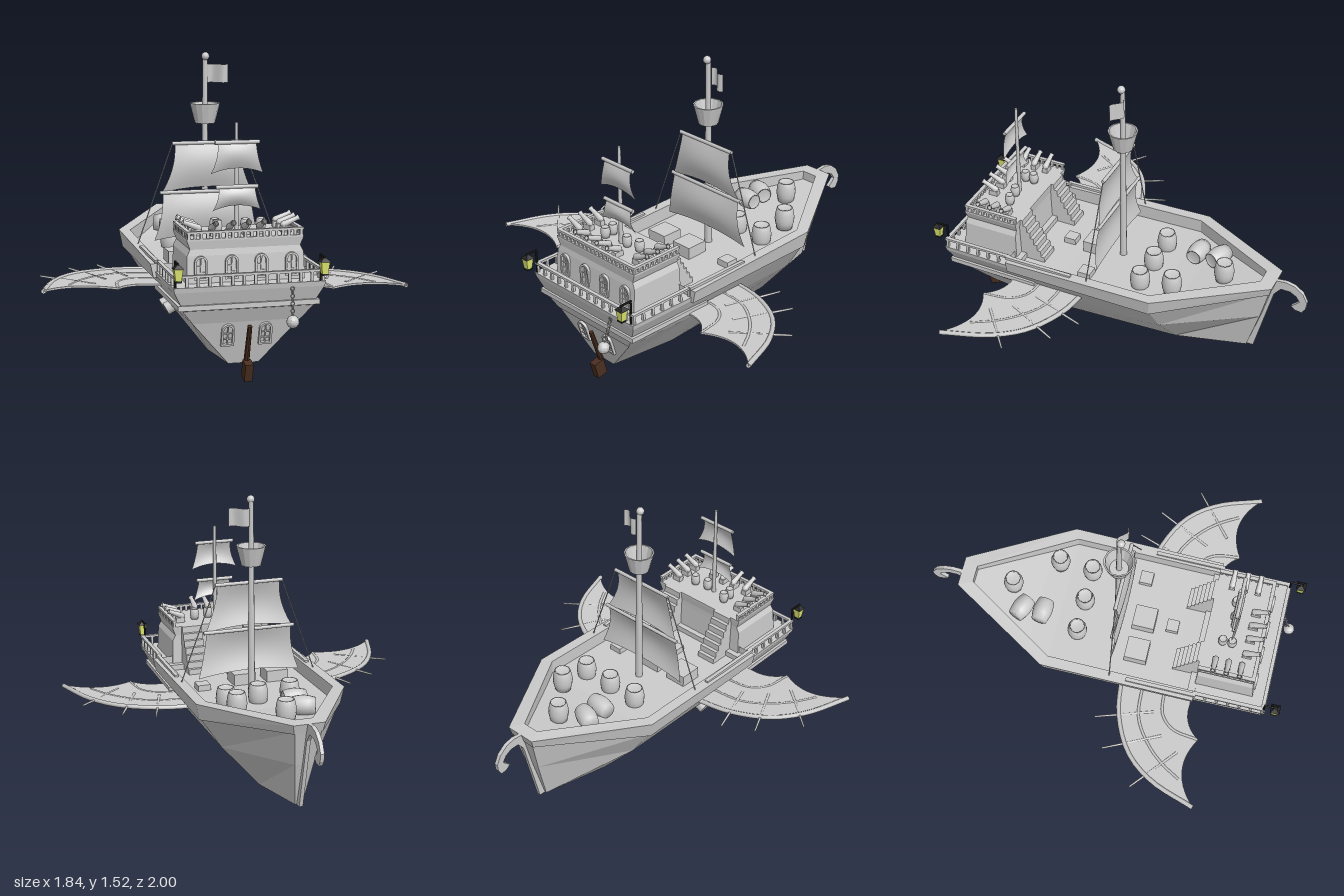
import * as THREE from 'three';

const C = 0.03; // hull centre line
const mat = (color = 0xcccccc, flat = false) =>
  new THREE.MeshStandardMaterial({ color, flatShading: flat, side: THREE.DoubleSide });
const GREY = mat(), FLAT = mat(0xcccccc, true), BROWN = mat(0x4a2e20, true), DARK = mat(0x222222, true), GLOW = mat(0xe0e870, true);
const V = (x, y, z) => new THREE.Vector3(x, y, z);

function put(parent, name, geo, x = 0, y = 0, z = 0, m = GREY) {
  const mesh = new THREE.Mesh(geo, m);
  mesh.name = name;
  mesh.position.set(x, y, z);
  parent.add(mesh);
  return mesh;
}
const box = (p, name, w, h, d, x, y, z, m = FLAT) => put(p, name, new THREE.BoxGeometry(w, h, d), x, y, z, m);

function rod(p, name, a, b, r, r2 = r, m = GREY) {
  const mesh = put(p, name, new THREE.CylinderGeometry(r2, r, a.distanceTo(b), 8), 0, 0, 0, m);
  mesh.position.copy(a).add(b).multiplyScalar(0.5);
  mesh.quaternion.setFromUnitVectors(V(0, 1, 0), b.clone().sub(a).normalize());
  return mesh;
}

// Skin mirrored half outlines [halfWidth, y, z], bow to stern, from the lowest level up, with both ends capped
function loft(levels) {
  const rings = levels.map(l => [
    ...l.map(([x, y, z]) => [C + x, y, z]),
    ...l.slice().reverse().map(([x, y, z]) => [C - x, y, z])]);
  const n = rings[0].length, pos = rings.flat(2), idx = [];
  for (let k = 0; k < rings.length - 1; k++)
    for (let i = 0; i < n; i++) {
      const j = (i + 1) % n, a = k * n + i, b = k * n + j;
      idx.push(a, a + n, b, b, a + n, b + n);
    }
  const top = (rings.length - 1) * n;
  for (let i = 0; i < n / 2 - 1; i++) {
    const a = i, b = i + 1, c = n - 2 - i, d = n - 1 - i;
    idx.push(a, b, c, a, c, d, top + a, top + c, top + b, top + a, top + d, top + c);
  }
  const g = new THREE.BufferGeometry();
  g.setAttribute('position', new THREE.Float32BufferAttribute(pos, 3));
  g.setIndex(idx);
  const out = g.toNonIndexed();
  out.computeVertexNormals();
  return out;
}

// Cloth panel that widens downward and billows along z
function sail(p, name, yTop, yBot, wTop, wBot, z, bulge) {
  const g = new THREE.PlaneGeometry(2, 1, 10, 8), a = g.attributes.position;
  for (let i = 0; i < a.count; i++) {
    const u = a.getX(i), v = 0.5 - a.getY(i);
    const lift = 0.025 * v * (1 - u * u);
    a.setXYZ(i, u * (wTop + (wBot - wTop) * v * v), yTop + (yBot - yTop) * v + lift, bulge * Math.sin(Math.PI * v) * (1 - 0.4 * u * u));
  }
  g.computeVertexNormals();
  put(p, name, g, C, 0, z);
  rod(p, name + 'Yard', V(C - wTop - 0.015, yTop, z), V(C + wTop + 0.015, yTop, z), 0.01);
}

function arch(w, h) {
  const s = new THREE.Shape();
  s.moveTo(-w, 0); s.lineTo(w, 0); s.lineTo(w, h - w);
  s.absarc(0, h - w, w, 0, Math.PI, false); s.lineTo(-w, 0);
  return s;
}
function archWindow(p, x, y, z, tilt = 0) {
  const g = new THREE.Group();
  g.name = 'archedWindow';
  const frame = arch(0.032, 0.115), hole = arch(0.022, 0.095);
  frame.holes.push(new THREE.Path(hole.getPoints(8).map(q => q.add(new THREE.Vector2(0, 0.01)))));
  put(g, 'windowFrame', new THREE.ExtrudeGeometry(frame, { depth: 0.015, bevelEnabled: false, curveSegments: 8 }), 0, 0, 0, FLAT);
  box(g, 'windowMullion', 0.006, 0.1, 0.008, 0, 0.055, 0.005);
  for (const b of [0.035, 0.065]) box(g, 'windowBar', 0.05, 0.005, 0.008, 0, b, 0.005);
  g.position.set(x, y, z);
  g.rotation.x = tilt;
  p.add(g);
}

const barrelGeo = new THREE.LatheGeometry([[0, 0], [0.042, 0], [0.05, 0.035], [0.053, 0.06], [0.05, 0.09], [0.043, 0.12], [0.037, 0.12], [0.037, 0.112], [0, 0.112]].map(q => new THREE.Vector2(...q)), 16);
const gunGeo = new THREE.LatheGeometry([[0, -0.045], [0.01, -0.04], [0.017, -0.03], [0.014, 0.01], [0.011, 0.045], [0.015, 0.055], [0.009, 0.055], [0.008, 0.02]].map(q => new THREE.Vector2(...q)), 12);

function cannon(p, x, z, turn) {
  const g = new THREE.Group();
  g.name = 'deckCannon';
  put(g, 'cannonBarrel', gunGeo, 0, 0.048, 0.01).rotation.x = Math.PI / 2 - 0.4;
  box(g, 'cannonCarriage', 0.03, 0.028, 0.05, 0, 0.016, -0.005);
  g.position.set(x, 0.7, z);
  g.rotation.y = turn;
  p.add(g);
}

function railing(p, name, a, b, h, count) {
  const up = V(0, h, 0);
  for (let i = 0; i <= count; i++) {
    const q = a.clone().lerp(b, i / count);
    box(p, name + 'Post', 0.013, h, 0.013, q.x, q.y + h / 2, q.z);
  }
  const dx = Math.abs(b.x - a.x), dz = Math.abs(b.z - a.z), m = a.clone().add(b).multiplyScalar(0.5).add(up);
  box(p, name + 'Top', dx + 0.02, 0.012, dz + 0.02, m.x, m.y, m.z);
}

// Membrane wing with curved battens and spines; s = side
function wing(p, s, y, tilt) {
  const g = new THREE.Group();
  g.name = s > 0 ? 'leftWing' : 'rightWing';
  const P = (x, z) => [s * x, z], sh = new THREE.Shape();
  sh.moveTo(...P(0.28, 0.13)); sh.lineTo(...P(0.37, 0.14));
  sh.bezierCurveTo(...P(0.62, 0.17), ...P(0.82, 0.32), ...P(0.91, 0.665));
  sh.quadraticCurveTo(...P(0.74, 0.5), ...P(0.545, 0.615));
  sh.quadraticCurveTo(...P(0.48, 0.52), ...P(0.37, 0.53));
  sh.lineTo(...P(0.28, 0.53));
  const geo = new THREE.ExtrudeGeometry(sh, { depth: 0.01, bevelEnabled: false, curveSegments: 14 });
  put(g, 'wingMembrane', geo.rotateX(Math.PI / 2), 0, 0.005, 0, FLAT);
  const battens = [[[0.3, 0.14], [0.5, 0.17], [0.7, 0.27], [0.82, 0.42], [0.91, 0.665]],
    [[0.3, 0.26], [0.5, 0.28], [0.64, 0.37], [0.72, 0.46], [0.78, 0.56]],
    [[0.3, 0.38], [0.45, 0.4], [0.52, 0.47], [0.545, 0.61]]];
  battens.forEach((pts, i) => put(g, 'wingBatten', new THREE.TubeGeometry(new THREE.CatmullRomCurve3(pts.map(([x, z]) => V(s * x, 0, z))), 16, i ? 0.009 : 0.013, 6)));
  for (const [x0, z0, x1, z1] of [[0.55, 0.05, 0.45, 0.35], [0.71, 0.13, 0.57, 0.42], [0.88, 0.32, 0.64, 0.52]])
    rod(g, 'wingSpine', V(s * x1, 0, z1), V(s * x0, 0, z0), 0.009, 0.005);
  g.position.y = y;
  g.rotation.z = tilt;
  p.add(g);
}

export function createModel() {
  const ship = new THREE.Group();
  ship.name = 'flyingShip';

  // Hull, bulwark with deck, stern gallery and quarterdeck
  put(ship, 'hull', loft([
    [[0.02, 0.115, -0.69], [0.07, 0.07, -0.3], [0.08, 0.045, 0.4], [0.075, 0.08, 0.8]],
    [[0.05, 0.36, -0.765], [0.27, 0.3, -0.29], [0.27, 0.29, 0.4], [0.265, 0.3, 0.86]],
    [[0.07, 0.55, -0.815], [0.38, 0.47, -0.28], [0.375, 0.46, 0.4], [0.33, 0.43, 0.89]]]), 0, 0, 0, FLAT);
  put(ship, 'bulwarkAndDeck', loft([
    [[0.075, 0.54, -0.815], [0.385, 0.46, -0.28], [0.385, 0.46, 0.54]],
    [[0.082, 0.59, -0.83], [0.402, 0.55, -0.29], [0.4, 0.53, 0.54]],
    [[0.045, 0.59, -0.755], [0.345, 0.55, -0.265], [0.345, 0.53, 0.54]],
    [[0.045, 0.52, -0.755], [0.345, 0.475, -0.265], [0.345, 0.455, 0.54]]]), 0, 0, 0, FLAT);
  put(ship, 'sternGallery', loft([
    [[0.25, 0.29, 0.4], [0.265, 0.3, 0.865]], [[0.325, 0.365, 0.4], [0.32, 0.37, 0.895]],
    [[0.35, 0.375, 0.4], [0.345, 0.375, 0.91]], [[0.35, 0.4, 0.4], [0.345, 0.4, 0.91]]]), 0, 0, 0, FLAT);
  put(ship, 'quarterdeck', loft([
    [[0.33, 0.39, 0.5], [0.325, 0.39, 0.895]], [[0.37, 0.465, 0.5], [0.365, 0.465, 0.92]],
    [[0.375, 0.49, 0.5], [0.37, 0.49, 0.925]]]), 0, 0, 0, FLAT);

  // Stem and curled prow
  const stem = [[-0.68, 0.115], [-0.725, 0.115], [-0.82, 0.5], [-0.855, 0.545], [-0.905, 0.545], [-0.94, 0.525], [-0.96, 0.495], [-0.94, 0.475], [-0.917, 0.455], [-0.94, 0.435], [-0.975, 0.43], [-0.995, 0.46], [-1, 0.5], [-0.975, 0.55], [-0.93, 0.585], [-0.88, 0.597], [-0.82, 0.59]];
  const stemGeo = new THREE.ExtrudeGeometry(new THREE.Shape(stem.map(q => new THREE.Vector2(...q))), { depth: 0.02, bevelEnabled: false });
  put(ship, 'curledStem', stemGeo.translate(0, 0, -0.01).rotateY(-Math.PI / 2), C, 0, 0, FLAT);

  // Stern cabin, roof, windows, stairs
  put(ship, 'sternCabin', loft([
    [[0.29, 0.48, 0.53], [0.29, 0.48, 0.845]], [[0.285, 0.62, 0.535], [0.285, 0.62, 0.835]], [[0.27, 0.65, 0.535], [0.27, 0.65, 0.83]],
    [[0.285, 0.69, 0.53], [0.285, 0.69, 0.835]], [[0.285, 0.7, 0.53], [0.285, 0.7, 0.835]]]), 0, 0, 0, FLAT);
  for (const x of [-0.19, -0.04, 0.105, 0.255]) archWindow(ship, x, 0.505, 0.835);
  for (const x of [-0.06, 0.125]) archWindow(ship, x, 0.18, 0.826, 0.27);
  for (const x of [-0.145, 0.21])
    for (let i = 0; i < 7; i++) box(ship, 'stairStep', 0.11, 0.035 * (i + 1), 0.02, x, 0.455 + 0.0175 * (i + 1), 0.405 + 0.02 * i);

  // Railings
  for (const s of [-1, 1]) {
    railing(ship, 'sternSideRail', V(C + s * 0.36, 0.48, 0.54), V(C + s * 0.36, 0.48, 0.91), 0.06, 6);
    railing(ship, 'roofSideRail', V(C + s * 0.275, 0.7, 0.54), V(C + s * 0.275, 0.7, 0.825), 0.03, 9);
    box(ship, 'waistRail', 0.02, 0.014, 0.38, C + s * 0.37, 0.542, 0.36);
  }
  railing(ship, 'sternRail', V(C - 0.36, 0.48, 0.91), V(C + 0.36, 0.48, 0.91), 0.06, 13);
  railing(ship, 'roofSternRail', V(C - 0.275, 0.7, 0.825), V(C + 0.275, 0.7, 0.825), 0.03, 18);

  // Cannons and stores on the roof
  for (const x of [-0.115, -0.03, 0.045, 0.12]) cannon(ship, x, 0.77, 0);
  for (const z of [0.61, 0.68, 0.75]) for (const s of [-1, 1]) cannon(ship, C + s * 0.225, z, s * Math.PI / 2);
  for (const [x, z] of [[-0.07, 0.625], [-0.07, 0.675], [0.075, 0.66], [0.155, 0.65]])
    put(ship, 'smallKeg', barrelGeo, x, 0.7, z).scale.setScalar(0.48);
  for (const z of [0.27, 0.36]) rod(ship, 'sideGunPort', V(-0.19, 0.29, z), V(-0.255, 0.255, z), 0.035);

  // Barrels and crates on the deck
  for (const [x, y, z] of [[-0.12, 0.45, -0.15], [0.055, 0.45, -0.15], [0.23, 0.45, -0.15], [0.23, 0.485, -0.33], [0.045, 0.5, -0.545]])
    put(ship, 'barrel', barrelGeo, x, y, z);
  for (const [x, z, a] of [[-0.135, -0.49, 1.1], [-0.13, -0.36, 1.4]]) put(ship, 'fallenBarrel', barrelGeo, x, 0.545, z).rotation.set(0, a - 1.5, -Math.PI / 2);
  for (const [x, z, w] of [[-0.155, 0.19, 0.12], [0.03, 0.19, 0.12], [0.265, 0.145, 0.07], [0.03, 0.345, 0.065]])
    box(ship, 'crate', w, w * 0.6, w, x, 0.455 + w * 0.3, z);

  // Main mast with lookout, flag, sails and stays
  rod(ship, 'mainMast', V(0.025, 0.45, 0.042), V(0.025, 1.49, 0.042), 0.02, 0.013);
  put(ship, 'mastBall', new THREE.SphereGeometry(0.021, 14, 10), 0.025, 1.5, 0.05);
  put(ship, 'lookout', new THREE.LatheGeometry([[0, 1.155], [0.052, 1.155], [0.078, 1.258], [0.07, 1.258], [0.048, 1.175], [0, 1.175]].map(q => new THREE.Vector2(...q)), 14), 0.025, 0, 0.042, FLAT);
  const flag = new THREE.PlaneGeometry(0.105, 0.095, 8, 1), fa = flag.attributes.position;
  for (let i = 0; i < fa.count; i++) fa.setZ(i, 0.025 * Math.sin(fa.getX(i) * 50));
  flag.computeVertexNormals();
  put(ship, 'flag', flag, 0.09, 1.41, 0.045);
  sail(ship, 'mainTopSail', 1.055, 0.8, 0.17, 0.24, 0.065, 0.028);
  sail(ship, 'mainLowerSail', 0.8, 0.55, 0.235, 0.28, 0.065, 0.028);
  for (const s of [-1, 1]) rod(ship, 'stay', V(C + s * 0.185, 1.05, 0.065), V(C + s * 0.37, 0.54, 0.08), 0.003);

  // Rear mast
  rod(ship, 'rearMast', V(C, 0.7, 0.66), V(C, 1.225, 0.655), 0.012, 0.008);
  sail(ship, 'rearTopSail', 1.13, 0.98, 0.095, 0.13, 0.668, 0.02);
  sail(ship, 'rearLowerSail', 0.915, 0.8, 0.09, 0.12, 0.668, 0.02);

  wing(ship, -1, 0.405, -0.05);
  wing(ship, 1, 0.37, 0.015);

  // Rudder
  rod(ship, 'rudderStock', V(C + 0.008, 0.28, 0.885), V(C + 0.008, 0.09, 0.825), 0.012, 0.015, BROWN);
  box(ship, 'rudderBlade', 0.04, 0.09, 0.06, 0.038, 0.053, 0.845, BROWN).rotation.x = 0.25;

  // Stern lanterns
  for (const x of [-0.33, 0.375]) {
    rod(ship, 'lanternPost', V(x, 0.48, 0.915), V(x, 0.62, 0.915), 0.006, 0.006, DARK);
    rod(ship, 'lanternArm', V(x, 0.615, 0.91), V(x, 0.615, 0.98), 0.005, 0.005, DARK);
    put(ship, 'lanternGlass', new THREE.CylinderGeometry(0.03, 0.02, 0.06, 4).rotateY(Math.PI / 4), x, 0.565, 0.972, GLOW);
    put(ship, 'lanternCap', new THREE.CylinderGeometry(0.008, 0.036, 0.018, 4).rotateY(Math.PI / 4), x, 0.603, 0.972, DARK);
    box(ship, 'lanternBase', 0.032, 0.008, 0.032, x, 0.533, 0.972, DARK);
  }

  // Weight hanging on a chain
  for (let i = 0; i < 8; i++) {
    const link = put(ship, 'chainLink', new THREE.TorusGeometry(0.009, 0.003, 5, 8), 0.235 - i * 0.001, 0.46 - i * 0.017, 0.925 + i * 0.004);
    link.rotation.y = (i % 2) * Math.PI / 2;
  }
  put(ship, 'hangingWeight', new THREE.SphereGeometry(0.031, 12, 8), 0.225, 0.31, 0.965, FLAT);
  return ship;
}
